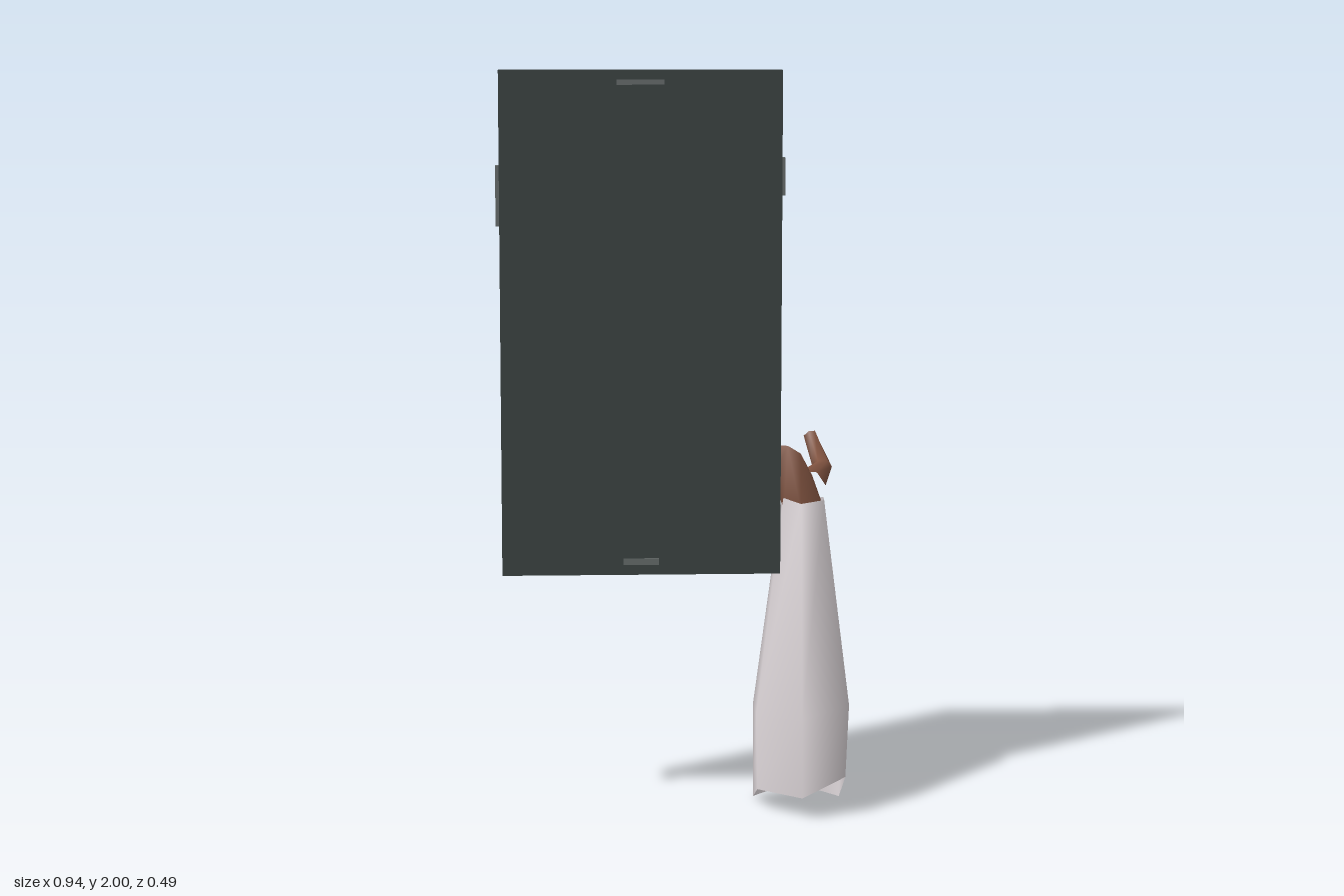
import * as THREE from 'three';

const mat = (name, color, side = THREE.FrontSide) => {
  const m = new THREE.MeshStandardMaterial({ color, side });
  m.name = name;
  return m;
};

// Skin over a series of rings (each a list of [x, y, z]); rings run counter-clockwise about the path
function loft(rings, capEnd) {
  const n = rings[0].length;
  const pos = rings.flat(2);
  const idx = [];
  for (let r = 0; r < rings.length - 1; r++) {
    for (let i = 0; i < n; i++) {
      const a = r * n + i, b = r * n + (i + 1) % n;
      idx.push(a, b, b + n, a, b + n, a + n);
    }
  }
  if (capEnd) {
    // separate cap vertices keep the end edge sharp
    const s = pos.length / 3;
    pos.push(...rings[rings.length - 1].flat());
    for (let i = 1; i < n - 1; i++) idx.push(s, s + i, s + i + 1);
  }
  const g = new THREE.BufferGeometry();
  g.setAttribute('position', new THREE.Float32BufferAttribute(pos, 3));
  g.setIndex(idx);
  g.computeVertexNormals();
  return g;
}

// Ring of points around a centre, square to a direction
function ring(c, dir, radius, sides = 6) {
  const d = new THREE.Vector3(...dir).normalize();
  const u = new THREE.Vector3(0, 1, 0).cross(d).normalize();
  const v = d.clone().cross(u);
  return Array.from({ length: sides }, (_, i) => {
    const t = (i / sides) * Math.PI * 2;
    return new THREE.Vector3(...c)
      .addScaledVector(u, Math.cos(t) * radius)
      .addScaledVector(v, Math.sin(t) * radius).toArray();
  });
}

export function createModel() {
  const model = new THREE.Group();
  model.name = 'handWithPhone';
  const dark = mat('darkCase', 0x3a4241);
  const grey = mat('greyTrim', 0x646a69);
  const skin = mat('skin', 0x805340);
  const cloth = mat('cloth', 0xdad3d6, THREE.DoubleSide);

  const add = (name, geometry, material, parent = model) => {
    const m = new THREE.Mesh(geometry, material);
    m.name = name;
    parent.add(m);
    return m;
  };
  // Box given by its limits on each axis
  const box = (name, x0, x1, y0, y1, z0, z1, material, parent) => {
    add(name, new THREE.BoxGeometry(x1 - x0, y1 - y0, z1 - z0), material, parent)
      .position.set((x0 + x1) / 2, (y0 + y1) / 2, (z0 + z1) / 2);
  };

  // Phone with side buttons and speaker slots
  const phone = new THREE.Group();
  phone.name = 'phone';
  model.add(phone);
  box('phoneBody', -0.465, 0.282, 0.655, 2, 0.043, 0.117, dark, phone);
  box('volumeButton', -0.475, -0.46, 1.59, 1.75, 0.064, 0.096, grey, phone);
  box('powerButton', 0.28, 0.292, 1.67, 1.77, 0.066, 0.096, grey, phone);
  box('topSpeaker', -0.155, -0.03, 1.962, 1.976, 0.115, 0.123, grey, phone);
  box('bottomSpeaker', -0.14, -0.045, 0.682, 0.7, 0.115, 0.12, grey, phone);

  // Sleeve, open at the uneven hem
  add('sleeve', loft([
    [[0.335, 0.065, 0.243], [0.455, 0.11, 0.195], [0.455, 0.01, 0.03],
      [0.335, 0.025, -0.06], [0.22, 0.005, 0], [0.222, 0.062, 0.135]],
    [[0.335, 0.27, 0.215], [0.467, 0.3, 0.16], [0.47, 0.3, 0.01],
      [0.345, 0.32, -0.085], [0.22, 0.27, -0.01], [0.218, 0.27, 0.13]],
    [[0.34, 0.84, 0.09], [0.405, 0.845, 0.06], [0.41, 0.84, -0.02],
      [0.365, 0.83, -0.07], [0.3, 0.85, -0.04], [0.295, 0.85, 0.05]],
  ]), cloth);

  // Hand: wrist, palm, knuckles, fingertips
  const hand = new THREE.Group();
  hand.name = 'hand';
  model.add(hand);
  add('palmAndFingers', loft([
    [[0.34, 0.82, 0.088], [0.403, 0.82, 0.058], [0.408, 0.82, -0.02],
      [0.365, 0.82, -0.068], [0.302, 0.82, -0.04], [0.297, 0.82, 0.05]],
    [[0.305, 0.995, 0.065], [0.345, 0.965, 0.01], [0.385, 0.89, -0.075],
      [0.345, 0.85, -0.1], [0.285, 0.87, -0.055], [0.265, 0.9, 0.035]],
    [[0.15, 0.995, 0.02], [0.22, 0.975, -0.06], [0.285, 0.93, -0.145],
      [0.265, 0.85, -0.14], [0.2, 0.875, -0.07], [0.165, 0.91, 0.005]],
    [[0.068, 0.805, -0.165], [0.12, 0.795, -0.22], [0.17, 0.78, -0.244],
      [0.2, 0.765, -0.215], [0.145, 0.75, -0.155], [0.07, 0.775, -0.13]],
  ], true), skin, hand);

  add('thumb', loft([
    ring([0.375, 0.87, -0.045], [0.3, 0.3, -0.9], 0.045),
    ring([0.418, 0.905, -0.135], [0, 0.6, -0.8], 0.027),
    ring([0.39, 0.983, -0.205], [-0.3, 0.6, -0.7], 0.02),
  ], true), skin, hand);

  return model;
}
